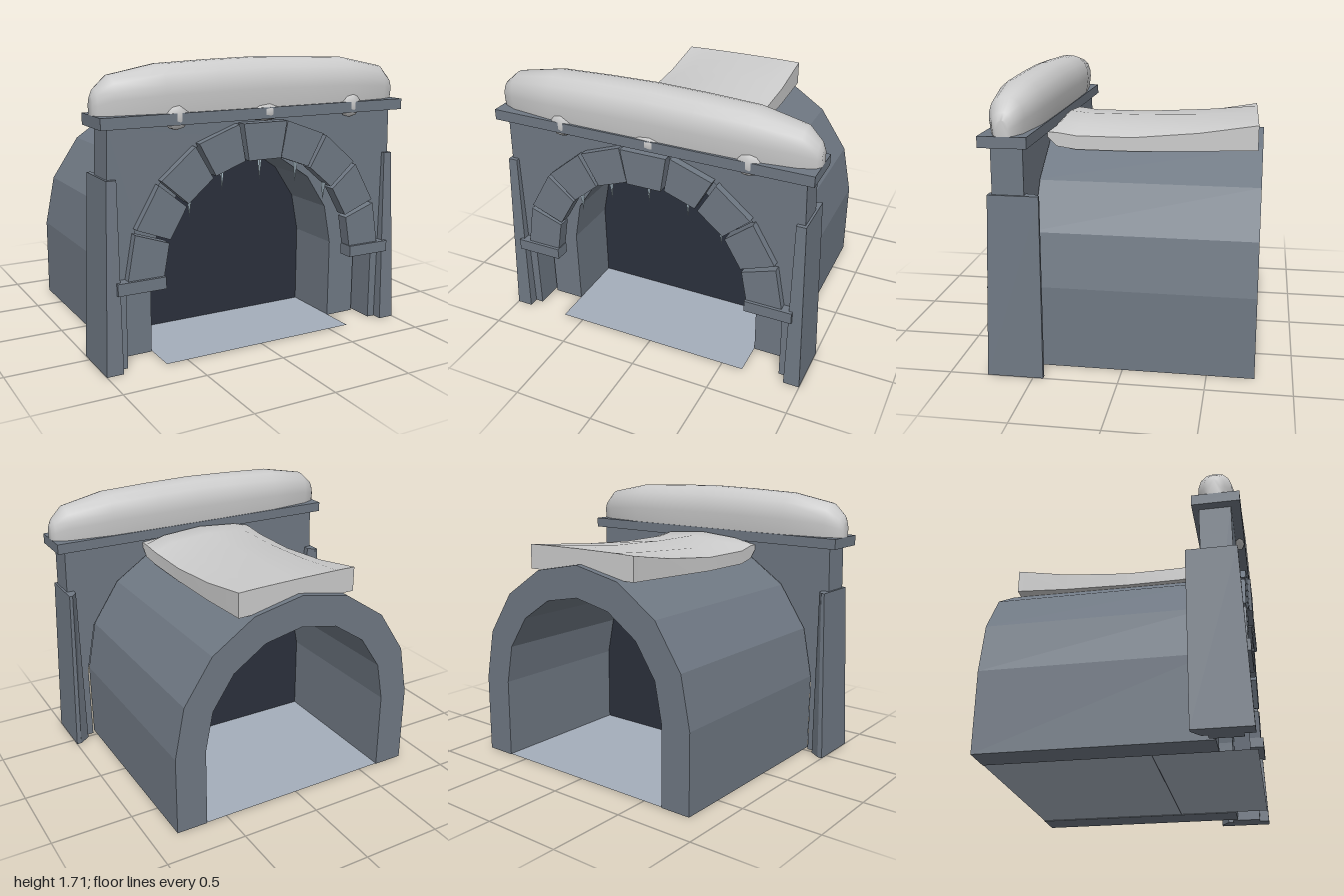
import * as THREE from 'three';
import { toCreasedNormals } from 'three/addons/utils/BufferGeometryUtils.js';

const stone = new THREE.MeshStandardMaterial({ color: 0x6f7883, flatShading: true });
const snow = new THREE.MeshStandardMaterial({ color: 0xe6e6e6 });
const dark = new THREE.MeshStandardMaterial({ color: 0x2b303c, side: THREE.DoubleSide });
const ground = new THREE.MeshStandardMaterial({ color: 0xa4adba, side: THREE.DoubleSide });
const ice = new THREE.MeshStandardMaterial({ color: 0xb4c8d4, flatShading: true });

const SPRING = 0.5; // height where the arches start to curve

// Arch outline from the right foot over the top to the left foot
function archPoints(r, n = 8) {
  const pts = [new THREE.Vector2(r, 0)];
  for (let i = 0; i <= n; i++) {
    const a = (Math.PI * i) / n;
    pts.push(new THREE.Vector2(r * Math.cos(a), SPRING + r * Math.sin(a)));
  }
  pts.push(new THREE.Vector2(-r, 0));
  return pts;
}

function extrude(points, z0, z1) {
  const g = new THREE.ExtrudeGeometry(new THREE.Shape(points), { depth: z1 - z0, bevelEnabled: false });
  return g.translate(0, 0, z0);
}

// Closed skin through rings of points, with capped ends
function loft(rings) {
  const n = rings[0].length, last = (rings.length - 1) * n, index = [];
  for (let i = 0; i < rings.length - 1; i++) {
    for (let j = 0; j < n; j++) {
      const a = i * n + j, d = i * n + ((j + 1) % n);
      index.push(a, d, d + n, a, d + n, a + n);
    }
  }
  for (let j = 1; j < n - 1; j++) index.push(0, j + 1, j, last, last + j, last + j + 1);
  const g = new THREE.BufferGeometry();
  g.setAttribute('position', new THREE.Float32BufferAttribute(rings.flat(2), 3));
  g.setIndex(index);
  g.computeVertexNormals();
  return g;
}

export function createModel() {
  const model = new THREE.Group();
  const add = (name, geometry, material, parent = model) => {
    const m = new THREE.Mesh(geometry, material);
    m.name = name;
    parent.add(m);
    return m;
  };
  const box = (x0, x1, y0, y1, z0, z1) =>
    new THREE.BoxGeometry(x1 - x0, y1 - y0, z1 - z0).translate((x0 + x1) / 2, (y0 + y1) / 2, (z0 + z1) / 2);

  // Tunnel vault, its floor and the dark screen inside
  add('tunnelVault', extrude([...archPoints(0.83), ...archPoints(0.635).reverse()], -0.78, 0.56), stone);
  add('floor', new THREE.PlaneGeometry(1.27, 1.55).rotateX(-Math.PI / 2).translate(0, 0.004, -0.005), ground);
  add('darkScreen', new THREE.ShapeGeometry(new THREE.Shape(archPoints(0.634))).translate(0, 0, 0.19), dark);

  // Front wall with tapering sides
  const corners = [[-0.98, 0], [-0.945, 1.37], [0.945, 1.37], [0.98, 0]].map(p => new THREE.Vector2(...p));
  add('frontWall', extrude([...archPoints(0.85), ...corners], 0.525, 0.71), stone);
  add('cornice', box(-1, 1, 1.365, 1.43, 0.487, 0.765), stone);

  // Corner buttresses and arch imposts
  const foot = [[0.9, 0.772], [1, 0.772], [1, 0.44], [0.97, 0.44], [0.9, 0.49]];
  const head = [[0.907, 0.735], [0.965, 0.735], [0.965, 0.44], [0.945, 0.44], [0.907, 0.485]];
  for (const s of [1, -1]) {
    const ring = (pts, y) => {
      const r = pts.map(([x, z]) => [s * x, y, z]);
      return s > 0 ? r : r.reverse();
    };
    const side = s > 0 ? 'left' : 'right';
    add(side + 'Buttress', loft([ring(foot, 0), ring(head, 1.09)]), stone);
    const impost = add(side + 'Impost', box(-0.145, 0.145, 0.455, 0.525, 0.68, 0.775), stone);
    impost.position.x = s * 0.78;
  }

  // Nine arch stones, the keystone standing slightly proud
  const archStones = new THREE.Group();
  archStones.name = 'archStones';
  model.add(archStones);
  for (let i = 0; i < 9; i++) {
    const key = i === 4;
    const mid = THREE.MathUtils.degToRad(10 + 20 * i);
    const half = THREE.MathUtils.degToRad(key ? 9.7 : 9.1);
    const at = (r, a) => new THREE.Vector2(r * Math.cos(a), SPRING + r * Math.sin(a));
    const pts = [at(0.642, mid - half), at(0.86, mid - half), at(0.86, mid + half), at(0.642, mid + half)];
    add(key ? 'keystone' : 'archStone', extrude(pts, 0.68, key ? 0.775 : 0.757), stone, archStones);
  }

  // Icicles hanging from the arch
  for (const [x, y, len] of [[0, 1.13, 0.13], [0.25, 1.09, 0.13], [-0.25, 1.09, 0.13], [0.46, 0.94, 0.11], [-0.46, 0.94, 0.11]]) {
    add('icicle', new THREE.ConeGeometry(0.014, len, 5).rotateX(Math.PI).translate(x, y - len / 2, 0.71), ice);
  }

  // Snow bank on the cornice: [x, height, half depth] along its length
  const bank = [[-1, 0.1, 0.035], [-0.98, 0.14, 0.06], [-0.9, 0.21, 0.1], [-0.62, 0.262, 0.14], [-0.3, 0.275, 0.145],
    [0, 0.282, 0.145], [0.3, 0.275, 0.145], [0.62, 0.262, 0.14], [0.9, 0.205, 0.1], [0.98, 0.13, 0.06], [1, 0.09, 0.035]];
  const bankHalf = [[0.25, 0.99], [0.5, 0.95], [0.82, 0.8], [0.97, 0.58], [1, 0.38], [0.9, 0]];
  const bankRing = [[0, 1], ...bankHalf, ...bankHalf.map(([u, v]) => [-u, v]).reverse()];
  const bankGeo = loft(bank.map(([x, h, w]) => bankRing.map(([u, v]) => [x, 1.43 + v * h, 0.622 + u * w])));
  add('corniceSnow', toCreasedNormals(bankGeo, 1.0), snow);

  // Small lumps of snow over the cornice edge
  for (const [x, y, rx, ry] of [[-0.55, 1.41, 0.08, 0.075], [0.62, 1.41, 0.08, 0.075], [0.02, 1.405, 0.12, 0.055]]) {
    add('snowLump', new THREE.SphereGeometry(1, 7, 5).scale(rx, ry, 0.035).translate(x, y, 0.735), snow);
  }

  // Snow slab on the vault: [z, x shift, bottom, shoulder, top]
  const slab = [[-0.74, 0.005, 1.265, 1.415, 1.42], [-0.4, 0.01, 1.25, 1.36, 1.405], [0, 0, 1.235, 1.32, 1.39],
    [0.35, -0.005, 1.235, 1.32, 1.39], [0.47, 0.005, 1.255, 1.34, 1.405], [0.525, 0.005, 1.31, 1.34, 1.36]];
  const slabGeo = loft(slab.map(([z, dx, bottom, shoulder, top], i) => {
    const skew = i === 0 ? -0.03 : 0;
    const mid = (shoulder + 2 * top) / 3;
    return [[-0.4, bottom], [0.4, bottom], [0.4, shoulder], [0.27, mid], [0, top], [-0.27, mid], [-0.4, shoulder]]
      .map(([x, y]) => [x + dx, y, z + skew * x]);
  }));
  add('vaultSnow', toCreasedNormals(slabGeo, 0.9), snow);

  return model;
}
